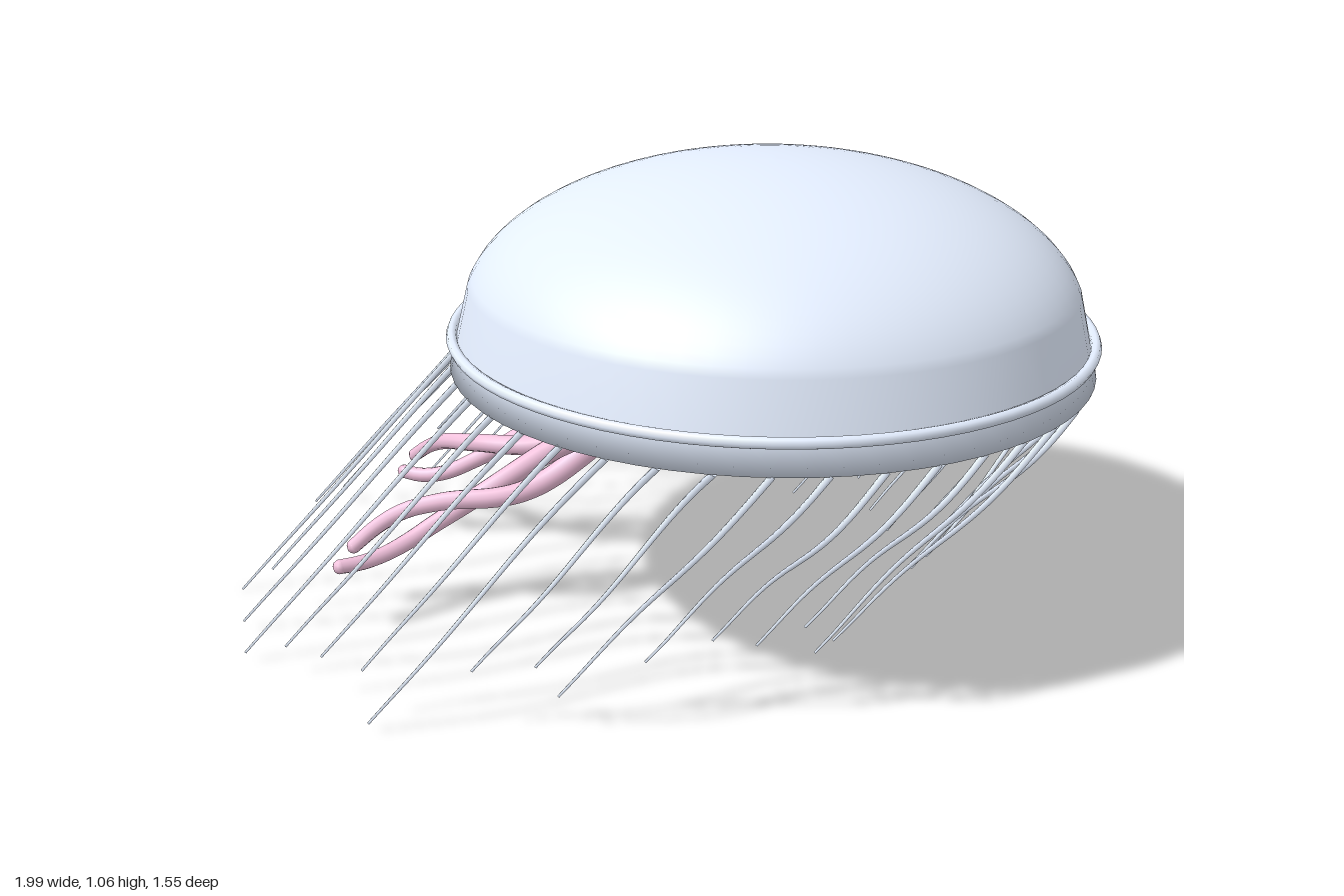
import * as THREE from 'three';

const CX = 0.255;      // bell axis
const RIM_Y = 0.605;   // height of the bell opening

const pale = new THREE.MeshStandardMaterial({ color: 0xe4eeff, side: THREE.DoubleSide });
const pink = new THREE.MeshStandardMaterial({ color: 0xf2c2dd, side: THREE.DoubleSide });

// small seeded generator for natural variation
function seeded(seed) {
  let s = seed;
  return () => (s = (s * 16807) % 2147483647) / 2147483647;
}

function addMesh(parent, name, geometry, material) {
  const mesh = new THREE.Mesh(geometry, material);
  mesh.name = name;
  parent.add(mesh);
  return mesh;
}

// tube along points whose radius runs from r0 to r1
function taperedTube(points, r0, r1, segments, sides) {
  const curve = new THREE.CatmullRomCurve3(points);
  const geo = new THREE.TubeGeometry(curve, segments, r0, sides, false);
  const pos = geo.attributes.position;
  const v = new THREE.Vector3();
  for (let i = 0; i <= segments; i++) {
    const c = curve.getPointAt(i / segments);
    const k = THREE.MathUtils.lerp(1, r1 / r0, i / segments);
    for (let j = 0; j <= sides; j++) {
      const n = i * (sides + 1) + j;
      v.fromBufferAttribute(pos, n).sub(c).multiplyScalar(k).add(c);
      pos.setXYZ(n, v.x, v.y, v.z);
    }
  }
  return geo;
}

function addBell(group) {
  // half section of the bell: flared skirt, then an elliptical dome
  const section = (inset) => {
    const pts = [new THREE.Vector2(0.716 - inset, 0.675)];
    const start = Math.asin((0.79 - 0.72) / 0.345);
    for (let i = 0; i <= 24; i++) {
      const a = THREE.MathUtils.lerp(start, Math.PI / 2, i / 24);
      const r = i === 24 ? 0 : (0.703 - inset) * Math.cos(a);
      pts.push(new THREE.Vector2(r, 0.72 + (0.345 - inset) * Math.sin(a)));
    }
    return pts;
  };
  // thin shell, lining and outside meeting in a sharp rim
  const profile = [...section(0.01).reverse(), new THREE.Vector2(0.733, RIM_Y), ...section(0)];
  addMesh(group, 'bell', new THREE.LatheGeometry(profile, 64), pale).position.x = CX;

  // raised ring around the skirt
  const ring = addMesh(group, 'bellRing', new THREE.TorusGeometry(0.727, 0.013, 8, 80), pale);
  ring.rotation.x = Math.PI / 2;
  ring.position.set(CX, 0.675, 0);
}

// fine trailing tentacles swept towards -x
function addTentacles(group) {
  const rand = seeded(77);
  const count = 40;
  const tentacles = new THREE.Group();
  tentacles.name = 'tentacles';
  for (let i = 0; i < count; i++) {
    const a = ((i + 0.5) / count) * Math.PI * 2;
    const x0 = CX + 0.725 * Math.cos(a);
    const z0 = 0.725 * Math.sin(a);
    const side = Math.sign(z0) * (Math.cos(a) < 0 ? 1 : -1);
    const drop = i === count / 2 - 1 ? 0.6 : 0.43 + 0.15 * rand();
    const sweep = drop * (0.82 - 0.06 * Math.cos(a));
    const wave = 0.018 + 0.014 * rand();
    const phase = 1.2 * (rand() - 0.5);
    const drift = 0.05 + 0.1 * rand();
    const points = [];
    for (let k = 0; k <= 10; k++) {
      const t = k / 10;
      const sway = drift * t * t - wave * (Math.sin(t * 7.5 + phase) - Math.sin(phase));
      points.push(new THREE.Vector3(x0 - sweep * t, RIM_Y - drop * t, z0 + side * sway));
    }
    addMesh(tentacles, 'tentacle', taperedTube(points, 0.008, 0.003, 24, 6), pale);
  }
  group.add(tentacles);
}

// two pairs of thick twisted arms hanging from the middle
function addArms(group) {
  const spine = new THREE.CatmullRomCurve3([
    [0.28, 0.58, 0.085], [0.1, 0.53, 0.1], [-0.1, 0.45, 0.12],
    [-0.3, 0.33, 0.155], [-0.5, 0.25, 0.19], [-0.69, 0.17, 0.285],
  ].map((p) => new THREE.Vector3(...p)));
  for (const side of [1, -1]) {
    const arm = new THREE.Group();
    arm.name = side > 0 ? 'leftArm' : 'rightArm';
    for (let strand = 0; strand < 2; strand++) {
      const points = [];
      for (let k = 0; k <= 20; k++) {
        const t = k / 20;
        const p = spine.getPointAt(t);
        const turn = t * Math.PI * 3 + strand * Math.PI;
        const spread = 0.036 + 0.02 * Math.max(0, t - 0.8) / 0.2;
        p.y += 0.9 * spread * Math.sin(turn);
        p.z = side * p.z + spread * Math.cos(turn);
        points.push(p);
      }
      addMesh(arm, 'armStrand', taperedTube(points, 0.038, 0.017, 60, 10), pink);
      // rounded root and tip
      addMesh(arm, 'strandRoot', new THREE.SphereGeometry(0.038, 10, 8), pink).position.copy(points[0]);
      addMesh(arm, 'strandTip', new THREE.SphereGeometry(0.017, 8, 6), pink).position.copy(points[20]);
    }
    group.add(arm);
  }
}

// four horseshoe organs under the dome, opening towards the middle
function addHorseshoes(group) {
  const R = 0.098, tube = 0.036, arc = Math.PI * 1.3;
  for (let i = 0; i < 4; i++) {
    const a = Math.PI / 4 + (i * Math.PI) / 2;
    const organ = new THREE.Group();
    organ.name = 'horseshoeOrgan';
    const shape = new THREE.TorusGeometry(R, tube, 10, 28, arc);
    shape.rotateZ(-arc / 2);
    shape.rotateX(Math.PI / 2);
    addMesh(organ, 'horseshoe', shape, pink);
    for (const s of [1, -1]) {
      const end = addMesh(organ, 'horseshoeEnd', new THREE.SphereGeometry(tube, 10, 8), pink);
      end.position.set(R * Math.cos(arc / 2), 0, s * R * Math.sin(arc / 2));
    }
    organ.rotation.y = -a;
    organ.position.set(CX + 0.25 * Math.cos(a), 0.91, 0.25 * Math.sin(a));
    group.add(organ);
  }
}

export function createModel() {
  const group = new THREE.Group();
  group.name = 'jellyfish';
  addBell(group);
  addTentacles(group);
  addArms(group);
  addHorseshoes(group);
  return group;
}
